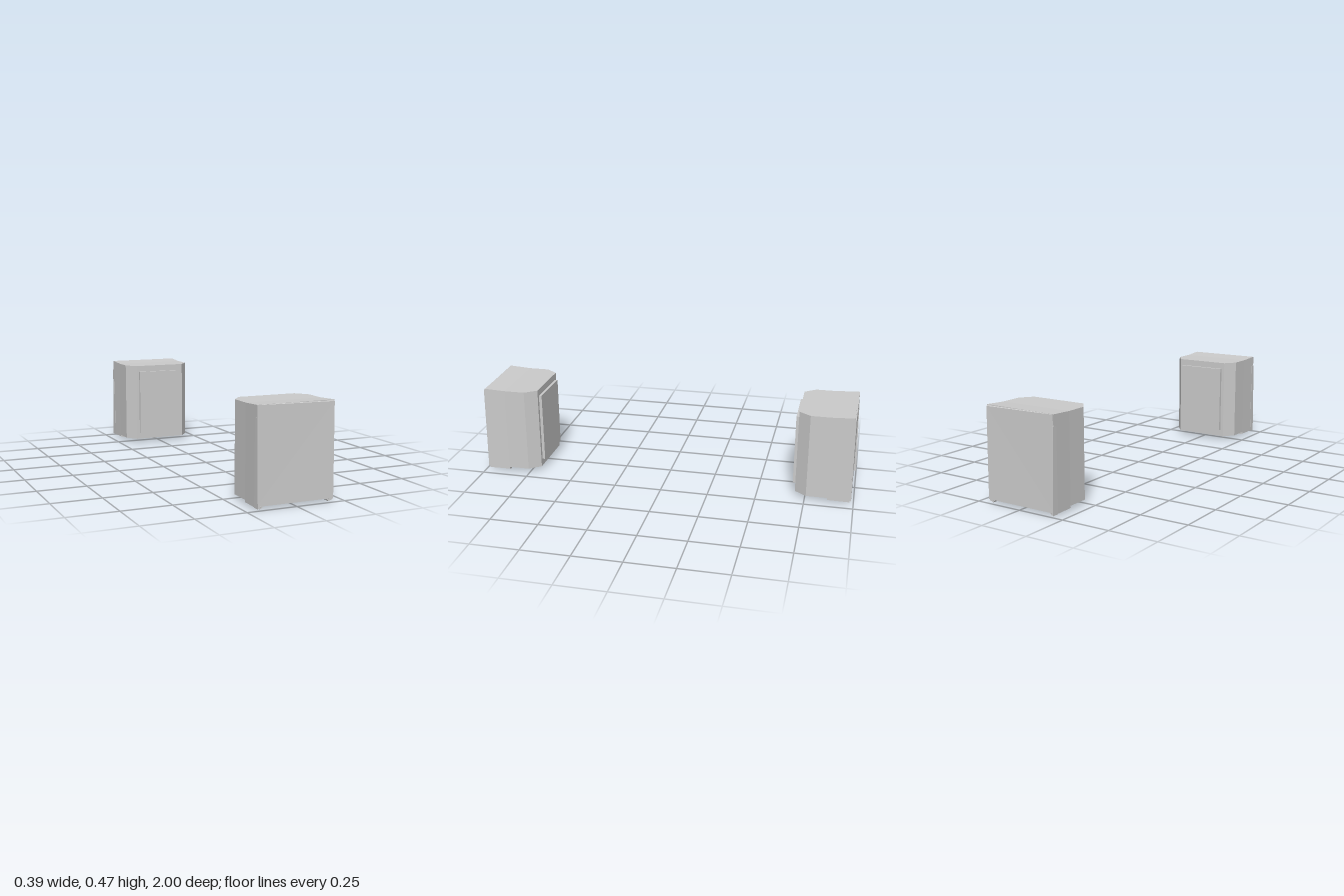
import * as THREE from 'three';

const material = new THREE.MeshStandardMaterial({ color: 0xcccccc, flatShading: true });

// Shape from the +x half of a profile, mirrored to -x
function mirroredShape(half) {
  const left = half.map(([x, y]) => [-x, y]).reverse();
  return new THREE.Shape([...half, ...left].map(([x, y]) => new THREE.Vector2(x, y)));
}

function extrude(shape, depth) {
  return new THREE.ExtrudeGeometry(shape, { depth, bevelEnabled: false });
}

// Plan profile (x, z) raised from y0 to y1
function raise(half, y0, y1) {
  const g = extrude(mirroredShape(half.map(([x, z]) => [x, -z])), y1 - y0);
  return g.rotateX(-Math.PI / 2).translate(0, y0, 0);
}

// Box given by its limits
function block(x0, x1, y0, y1, z0, z1) {
  return new THREE.BoxGeometry(x1 - x0, y1 - y0, z1 - z0)
    .translate((x0 + x1) / 2, (y0 + y1) / 2, (z0 + z1) / 2);
}

// Move every vertex by a rule
function bend(g, rule) {
  const p = g.attributes.position;
  const v = new THREE.Vector3();
  for (let i = 0; i < p.count; i++) {
    v.fromBufferAttribute(p, i);
    rule(v);
    p.setXYZ(i, v.x, v.y, v.z);
  }
  return g;
}

// Reflect in z and reverse the corner order so that faces stay outward
function mirrorZ(geometry) {
  const g = geometry.index ? geometry.toNonIndexed() : geometry;
  g.scale(1, 1, -1);
  const p = g.attributes.position;
  const a = new THREE.Vector3(), b = new THREE.Vector3();
  for (let i = 0; i < p.count; i += 3) {
    a.fromBufferAttribute(p, i + 1);
    b.fromBufferAttribute(p, i + 2);
    p.setXYZ(i + 1, b.x, b.y, b.z);
    p.setXYZ(i + 2, a.x, a.y, a.z);
  }
  return g;
}

function createHousing(name, mirrored) {
  const group = new THREE.Group();
  group.name = name;
  const add = (part, geometry) => {
    const g = mirrored ? mirrorZ(geometry) : geometry;
    g.computeVertexNormals();
    const mesh = new THREE.Mesh(g, material);
    mesh.name = part;
    group.add(mesh);
  };

  // Chamfered shell, open below and towards the sleeve
  const outer = [[0.148, 0.697], [0.194, 0.757], [0.194, 0.875]];
  const inner = [[0.164, 0.875], [0.164, 0.767], [0.133, 0.725]];
  add('shellWalls', raise([...outer, ...inner], 0.02, 0.44));
  add('shellRoof', raise(outer, 0.44, 0.465));

  // Raised panel on the inward face
  add('innerPanel', block(-0.13, 0.13, 0.058, 0.43, 0.682, 0.699));

  // Sleeve over the roof and sides, with pointed lower lips
  const sleeve = extrude(mirroredShape([
    [0.16, 0.44], [0.16, 0.016], [0.174, 0.002], [0.197, 0.009], [0.197, 0.471],
  ]), 0.115).translate(0, 0, 0.866);
  add('sleeve', bend(sleeve, (v) => {
    // slanted rear edge and receding upper corner
    if (v.z < 0.87 && Math.abs(v.x) < 0.19) return;
    if (v.z < 0.87) {
      v.x -= Math.sign(v.x) * 0.003;
      if (v.y > 0.46) v.y = 0.465;
    } else if (v.x > 0.19 && v.y > 0.46) v.z = 0.976;
  }));

  // Large closing plate, slightly tilted along its upper edge
  const plate = block(-0.196, 0.196, 0.016, 0.47, 0.965, 0.988);
  add('outerPlate', bend(plate, (v) => {
    if (v.y > 0.4 && v.z > 0.98) {
      v.z = v.x > 0 ? 0.982 : 0.986;
      if (v.x > 0) v.y = 0.464;
    }
  }));

  // Thin wedge along one edge of the plate
  const wedge = block(-0.198, -0.193, 0.008, 0.416, 0.965, 1);
  add('edgeWedge', bend(wedge, (v) => {
    if (v.y > 0.3 && v.z > 0.99) v.z = 0.988;
    if (v.x > -0.195 && v.z > 0.99) v.z = 0.988;
  }));

  // Small lip points under both corners
  for (const s of [-1, 1]) {
    const tip = new THREE.CylinderGeometry(0.012, 0.001, 0.014, 4)
      .translate(s * 0.174, 0.007, 0.972);
    add(s > 0 ? 'leftLip' : 'rightLip', tip);
  }
  return group;
}

export function createModel() {
  const model = new THREE.Group();
  model.name = 'pairedHousings';
  model.add(createHousing('frontHousing', false), createHousing('backHousing', true));
  return model;
}
